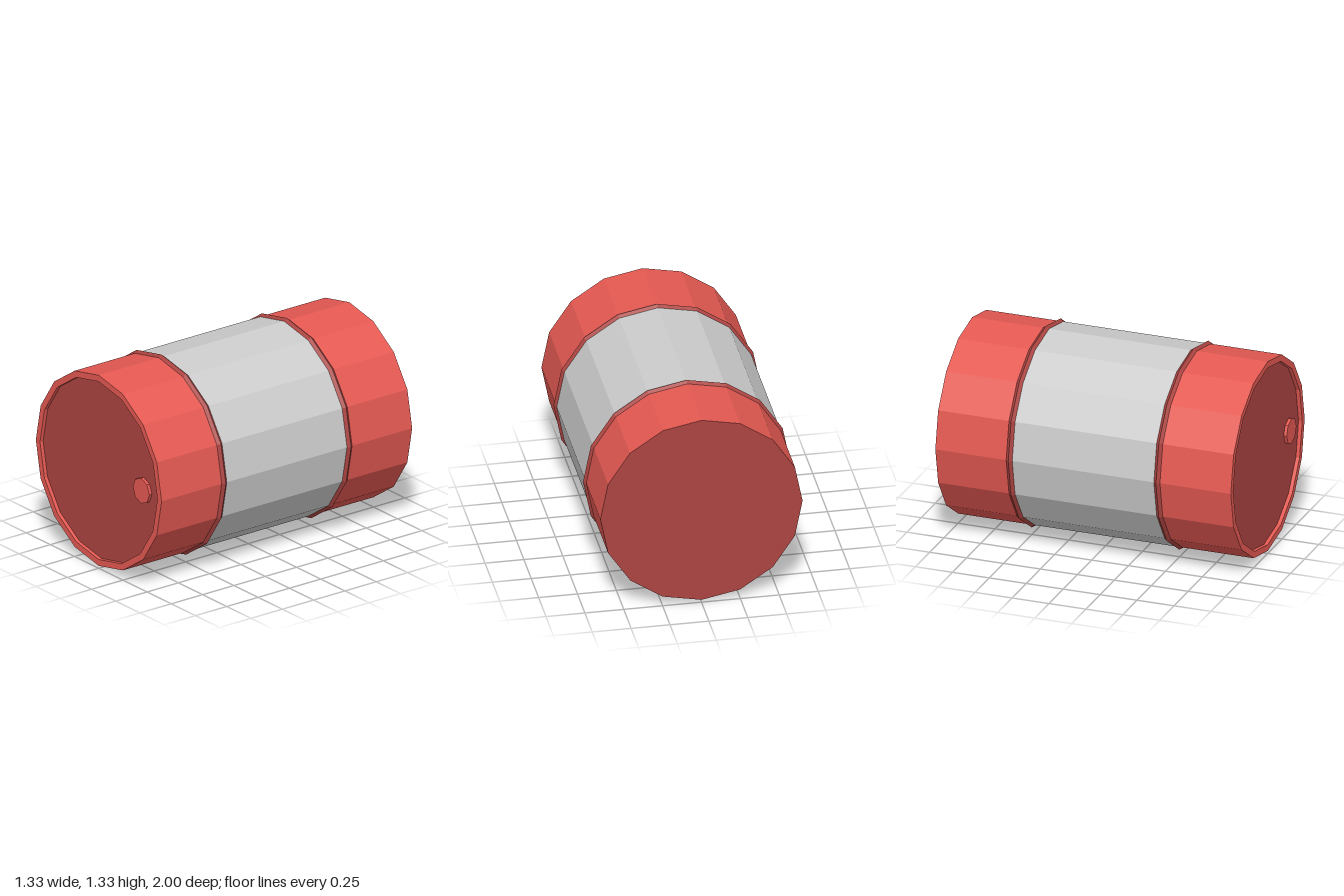
import * as THREE from 'three';

const SIDES = 16;
const R = 0.65; // shell radius
const RIDGE_R = 0.667;
const LID_R = 0.607;
const LID_Z = 0.975;

const material = (color) => new THREE.MeshStandardMaterial({ color, flatShading: true });

export function createModel() {
  const group = new THREE.Group();
  const red = material(0xe55952);
  const darkRed = material(0xac4441);
  const grey = material(0xcccccc);

  const add = (name, geometry, mat) => {
    const mesh = new THREE.Mesh(geometry, mat);
    mesh.name = name;
    mesh.position.y = RIDGE_R;
    group.add(mesh);
    return mesh;
  };

  // Revolves [radius, z] points, listed from back to front, about the z axis
  const revolve = (name, points, mat) => {
    const profile = points.map(([r, z]) => new THREE.Vector2(r, z));
    return add(name, new THREE.LatheGeometry(profile, SIDES).rotateX(Math.PI / 2), mat);
  };

  // Shell: plain middle, painted ends, the front one with a raised rim
  revolve('middleBand', [[R, -0.5], [R, 0.5]], grey);
  revolve('backBand', [[R, -1], [R, -0.5]], red);
  revolve('frontBandAndRim', [[R, 0.5], [R, 1], [LID_R, 1], [LID_R, LID_Z]], red);

  // Pointed ridges around the shell
  for (const [name, z] of [['backRidge', -0.5], ['frontRidge', 0.5]]) {
    revolve(name, [[R - 0.002, z - 0.023], [RIDGE_R, z], [R - 0.002, z + 0.023]], darkRed);
  }

  // Recessed front lid and flat back end
  revolve('frontLid', [[LID_R, LID_Z], [0, LID_Z]], darkRed);
  revolve('backEnd', [[0, -1], [R, -1]], darkRed);

  // Octagonal filler cap on the lid
  const cap = add('fillerCap', new THREE.CylinderGeometry(0.086, 0.086, 0.02, 8).rotateX(Math.PI / 2), red);
  cap.position.x = 0.432;
  cap.position.z = LID_Z + 0.01;

  return group;
}
